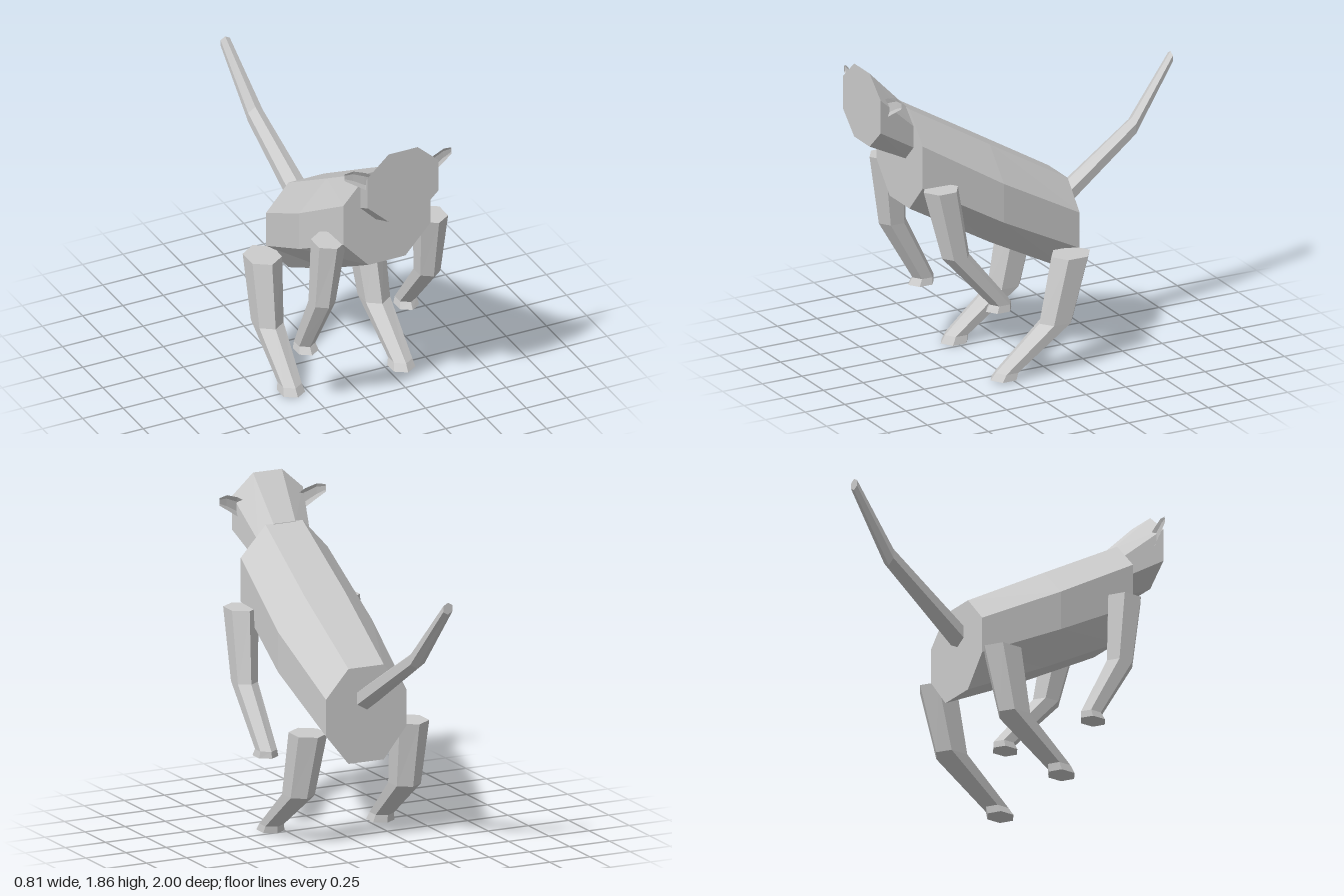
import * as THREE from 'three';

const coat = new THREE.MeshStandardMaterial({ color: 0xcccccc, flatShading: true });
coat.name = 'grey coat';

// Skin a list of equal-length rings of [x, y, z] points and cap both ends
function loft(name, rings) {
  const pos = [];
  const n = rings[0].length;
  const tri = (a, b, c) => pos.push(...a, ...b, ...c);
  for (let i = 0; i + 1 < rings.length; i++) {
    for (let j = 0; j < n; j++) {
      const k = (j + 1) % n;
      const [a, b, c, d] = [rings[i][j], rings[i][k], rings[i + 1][k], rings[i + 1][j]];
      tri(a, b, c);
      tri(a, c, d);
    }
  }
  const last = rings[rings.length - 1];
  for (let j = 1; j < n - 1; j++) {
    tri(rings[0][0], rings[0][j + 1], rings[0][j]);
    tri(last[0], last[j], last[j + 1]);
  }
  const geo = new THREE.BufferGeometry();
  geo.setAttribute('position', new THREE.Float32BufferAttribute(pos, 3));
  geo.computeVertexNormals();
  const mesh = new THREE.Mesh(geo, coat);
  mesh.name = name;
  return mesh;
}

// Upright octagon at depth z: centre x, inner and outer half widths, four heights from top to bottom
const octagon = (z, cx, inner, outer, [y0, y1, y2, y3]) => [
  [cx + inner, y0, z], [cx - inner, y0, z], [cx - outer, y1, z], [cx - outer, y2, z],
  [cx - inner, y3, z], [cx + inner, y3, z], [cx + outer, y2, z], [cx + outer, y1, z],
];

// Level hexagon with corners pointing forward and back
function levelHexagon(cx, y, cz, rx, rz) {
  const ring = [];
  for (let i = 0; i < 6; i++) {
    const a = i * Math.PI / 3;
    ring.push([cx + rx * Math.sin(a) / Math.sin(Math.PI / 3), y, cz + rz * Math.cos(a)]);
  }
  return ring;
}

// Upright hexagon with corners pointing up and down
function uprightHexagon(cx, cy, z, rx, ry) {
  const ring = [];
  for (let i = 0; i < 6; i++) {
    const a = i * Math.PI / 3;
    ring.push([cx - rx * Math.sin(a) / Math.sin(Math.PI / 3), cy + ry * Math.cos(a), z]);
  }
  return ring;
}

// Leg from top to sole; each joint is [x, y, z, half width, half depth]
const leg = (name, side, joints) =>
  loft(name, joints.map(([x, y, z, rx, rz]) => levelHexagon(side * x, y, z, rx, rz)).reverse());

// Flattened ear running outwards from the head
function ear(name, side) {
  const sections = [
    [0.15, 1.665, 0.952, 0.045, 0.012],
    [0.21, 1.69, 0.95, 0.055, 0.014],
    [0.28, 1.725, 0.94, 0.043, 0.01],
    [0.33, 1.737, 0.932, 0.022, 0.004],
  ];
  const rings = sections.map(([x, y, z, ry, rz]) => {
    const ring = [];
    for (let i = 0; i < 6; i++) {
      const a = i * Math.PI / 3;
      ring.push([side * x - 0.012, y + ry * Math.cos(a), z - side * rz * Math.sin(a) * -1]);
    }
    return ring;
  });
  // Ring order follows the side, so reverse it where the skin would face inwards
  return loft(name, rings.map((r) => r.slice().reverse()));
}

export function createModel() {
  const model = new THREE.Group();
  model.name = 'animal';

  // Sloping body
  model.add(loft('body', [
    octagon(-0.23, 0, 0.11, 0.25, [1.03, 0.87, 0.66, 0.485]),
    octagon(0.27, 0, 0.125, 0.293, [1.325, 1.145, 0.915, 0.745]),
    octagon(0.77, 0, 0.115, 0.27, [1.62, 1.45, 1.2, 1.03]),
  ]));

  // Head flaring forward to a flat face
  model.add(loft('head', [
    octagon(0.765, 0, 0.068, 0.162, [1.62, 1.53, 1.405, 1.31]),
    octagon(1, -0.014, 0.09, 0.22, [1.86, 1.742, 1.548, 1.426]),
  ]));
  model.add(ear('leftEar', 1), ear('rightEar', -1));

  // Tail bending upwards
  model.add(loft('tail', [
    uprightHexagon(-0.116, 1.533, -1, 0.029, 0.034),
    uprightHexagon(-0.064, 1.185, -0.73, 0.045, 0.056),
    uprightHexagon(-0.006, 0.85, -0.225, 0.062, 0.07),
  ]));

  // Front legs, swung back by different amounts
  model.add(leg('leftFrontLeg', 1, [
    [0.315, 1.195, 0.68, 0.083, 0.108],
    [0.335, 0.79, 0.598, 0.062, 0.085],
    [0.342, 0.467, 0.32, 0.052, 0.066],
    [0.341, 0.428, 0.33, 0.06, 0.08],
  ]));
  model.add(leg('rightFrontLeg', -1, [
    [0.317, 1.195, 0.68, 0.083, 0.108],
    [0.335, 0.782, 0.635, 0.062, 0.085],
    [0.343, 0.42, 0.437, 0.05, 0.066],
    [0.343, 0.38, 0.45, 0.06, 0.08],
  ]));

  // Hind legs, reaching forward
  model.add(leg('leftHindLeg', 1, [
    [0.315, 0.667, -0.138, 0.09, 0.122],
    [0.325, 0.29, -0.04, 0.075, 0.105],
    [0.333, 0.05, 0.27, 0.057, 0.074],
    [0.33, 0.01, 0.29, 0.066, 0.085],
  ]));
  model.add(leg('rightHindLeg', -1, [
    [0.317, 0.667, -0.138, 0.092, 0.122],
    [0.325, 0.285, -0.062, 0.075, 0.105],
    [0.333, 0.045, 0.23, 0.057, 0.074],
    [0.332, 0, 0.247, 0.066, 0.085],
  ]));

  return model;
}
